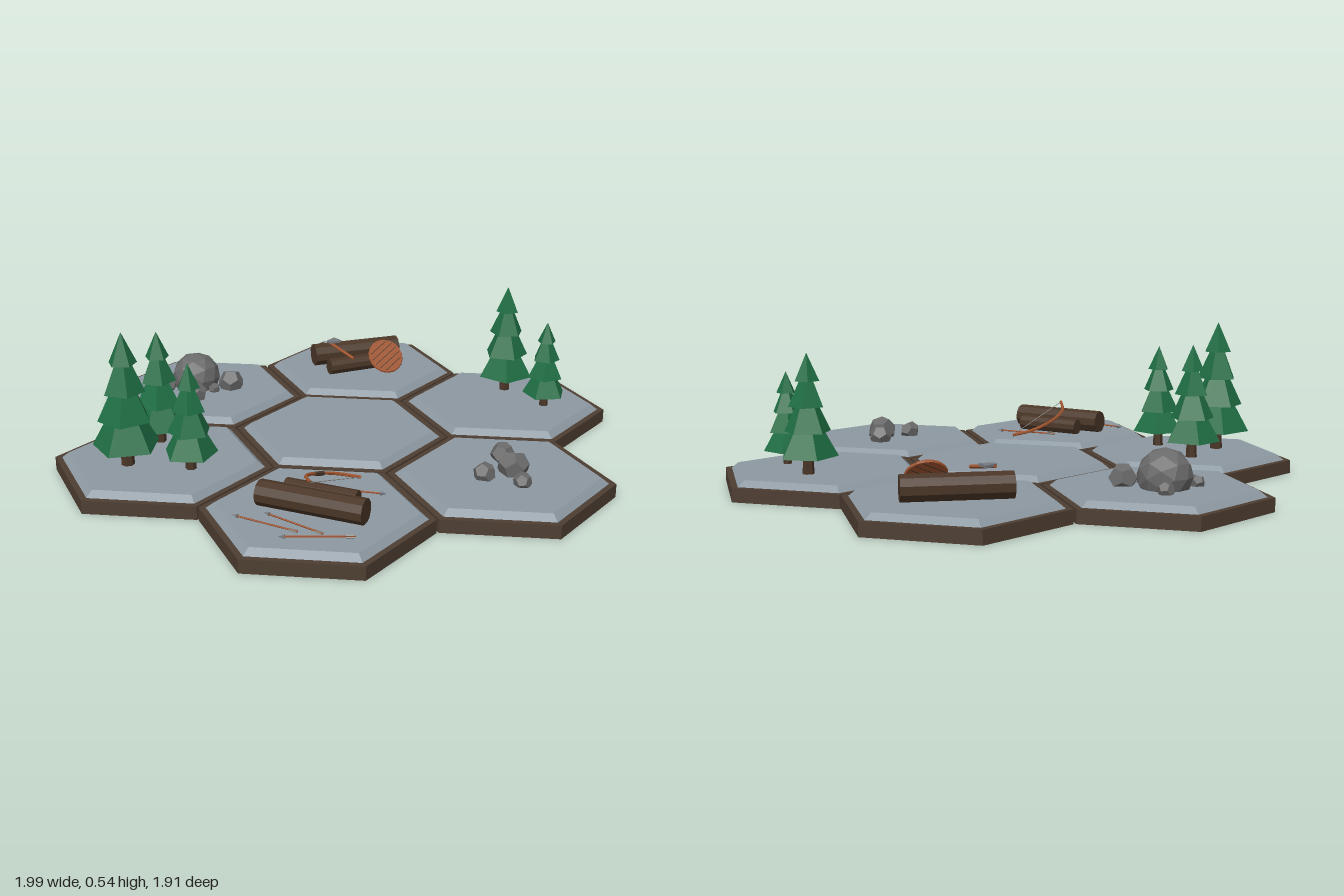
import * as THREE from 'three';

const mat = (name, color, extra = {}) => {
  const m = new THREE.MeshStandardMaterial({ color, flatShading: true, ...extra });
  m.name = name;
  return m;
};
const V = (x, y, z) => new THREE.Vector3(x, y, z);
const UP = V(0, 1, 0);
const G = 0.067; // height of the tile tops

export function createModel() {
  const M = {
    rim: mat('rim brown', 0x4e3e32),
    slab: mat('slab grey', 0x8c98a1),
    bark: mat('bark brown', 0x4a3627),
    leaf: mat('pine green', 0x1f6e44),
    rock: mat('rock grey', 0x6a6a6b),
    wood: mat('orange wood', 0xa0542f),
    metal: mat('metal grey', 0x777b80),
    string: mat('string grey', 0x8f8f8a),
  };
  const root = new THREE.Group();
  root.name = 'hexTileSet';

  const group = (name, parent = root) => {
    const g = new THREE.Group();
    g.name = name;
    parent.add(g);
    return g;
  };
  const add = (parent, name, geo, material, x = 0, y = 0, z = 0) => {
    const m = new THREE.Mesh(geo, material);
    m.name = name;
    m.position.set(x, y, z);
    parent.add(m);
    return m;
  };
  // cylinder running from a to b
  const rod = (parent, name, a, b, r0, r1, sides, material) => {
    const m = add(parent, name, new THREE.CylinderGeometry(r1, r0, a.distanceTo(b), sides), material);
    m.position.copy(a).lerp(b, 0.5);
    m.quaternion.setFromUnitVectors(UP, b.clone().sub(a).normalize());
    return m;
  };

  // Seven hexagonal tiles: brown base and bevelled stone slab
  const rows = [[-0.577, [-0.333, 0.333]], [0, [-0.667, 0, 0.667]], [0.577, [-0.333, 0.333]]];
  for (const [z, xs] of rows) for (const x of xs) {
    const tile = group('tile');
    tile.position.set(x, 0, z);
    add(tile, 'tileBase', new THREE.CylinderGeometry(0.38, 0.38, 0.047, 6), M.rim, 0, 0.0235, 0);
    add(tile, 'tileSlab', new THREE.CylinderGeometry(0.33, 0.356, 0.02, 6), M.slab, 0, 0.057, 0);
  }

  // Pine trees: trunk and four five-sided tiers (x, z, height, turn)
  const tiers = [ // bottom, top, lower radius, upper radius
    [0.145, 0.42, 0.25, 0.1],
    [0.35, 0.62, 0.2, 0.07],
    [0.56, 0.82, 0.155, 0.04],
    [0.77, 1, 0.105, 0],
  ];
  for (const [x, z, h, turn] of [
    [-0.385, 0.69, 0.47, 1.5], [-0.435, 0.478, 0.405, 0.3], [-0.19, 0.588, 0.375, 1.2],
    [0.275, -0.69, 0.41, 0.6], [0.48, -0.63, 0.325, 0.1],
  ]) {
    const tree = group('pineTree');
    tree.position.set(x, G, z);
    tree.rotation.y = turn;
    tree.scale.setScalar(h);
    add(tree, 'trunk', new THREE.CylinderGeometry(0.04, 0.05, 0.2, 6), M.bark, 0, 0.1, 0);
    tiers.forEach(([y0, y1, r0, r1], i) => {
      const t = add(tree, 'foliageTier', new THREE.CylinderGeometry(r1, r0, y1 - y0, 5), M.leaf, 0, (y0 + y1) / 2, 0);
      t.rotation.y = i * 0.35;
    });
  }

  // Rocks (x, z, radius)
  [
    [-0.71, -0.01, 0.092], [-0.585, -0.07, 0.05], [-0.615, 0.095, 0.042], [-0.765, 0.085, 0.027],
    [-0.78, -0.09, 0.029], [-0.61, 0, 0.023],
    [0.61, -0.105, 0.043], [0.695, -0.03, 0.055], [0.64, 0.065, 0.039], [0.77, 0.04, 0.032],
  ].forEach(([x, z, r], i) => {
    const geo = r > 0.08 ? new THREE.IcosahedronGeometry(r, 1) : new THREE.DodecahedronGeometry(r);
    const rock = add(root, 'rock', geo, M.rock, x, G + r * 0.42, z);
    rock.rotation.set(i * 1.1, i * 0.7, i * 0.4);
  });

  // Fallen logs (centre x, z, direction x, z, length, radius)
  for (const [x, z, dx, dz, len, r] of [
    [0.345, 0.615, 67, -16, 0.365, 0.043], [0.315, 0.525, 46, -11, 0.25, 0.03],
    [-0.383, -0.612, 37, -53, 0.355, 0.045], [-0.312, -0.515, 22, -38, 0.225, 0.032],
  ]) {
    const c = V(x, G + r * 0.92, z), d = V(dx, 0, dz).normalize().multiplyScalar(len / 2);
    rod(root, 'log', c.clone().sub(d), c.clone().add(d), r, r, 10, M.bark);
  }

  // Arrows: shaft, head and two crossed feathers (tail x, z to head x, z)
  for (const [x0, z0, x1, z1] of [
    [0.465, 0.715, 0.25, 0.71], [0.395, 0.75, 0.18, 0.78],
    [0.555, 0.67, 0.385, 0.8], [0.235, 0.47, 0.44, 0.38],
  ]) {
    const a = V(x0, G + 0.006, z0), b = V(x1, G + 0.006, z1);
    const arrow = group('arrow');
    rod(arrow, 'arrowShaft', a, b, 0.003, 0.003, 5, M.wood);
    rod(arrow, 'arrowHead', b, b.clone().sub(a).setLength(0.022).add(b), 0.008, 0, 4, M.metal);
    for (const k of [0, 1]) {
      const f = add(arrow, 'arrowFeather', new THREE.BoxGeometry(k ? 0.002 : 0.012, 0.026, k ? 0.012 : 0.002), M.string);
      f.position.copy(a).lerp(b, 0.08);
      f.quaternion.setFromUnitVectors(UP, b.clone().sub(a).normalize());
    }
  }

  // Bow leaning over the logs
  const bow = group('bow');
  const limb = [[0.32, 0.32], [0.268, 0.375], [0.25, 0.46], [0.272, 0.55], [0.345, 0.62]]
    .map(([x, z]) => V(x, G + 0.008 + (z - 0.32) * 0.33, z));
  add(bow, 'bowLimb', new THREE.TubeGeometry(new THREE.CatmullRomCurve3(limb), 20, 0.006, 6), M.wood);
  rod(bow, 'bowGrip', limb[2].clone().lerp(limb[1], 0.25), limb[2].clone().lerp(limb[3], 0.25), 0.008, 0.008, 6, M.bark);
  rod(bow, 'bowString', limb[0], limb[4], 0.0015, 0.0015, 4, M.string);

  // Round plank shield leaning on the small log
  const shield = group('shield');
  shield.position.set(-0.222, G + 0.054, -0.598);
  shield.quaternion.setFromUnitVectors(UP, V(0.64, 0.64, 0.4).normalize());
  add(shield, 'shieldBoard', new THREE.CylinderGeometry(0.066, 0.066, 0.01, 18), M.wood);
  const hoop = add(shield, 'shieldRim', new THREE.TorusGeometry(0.066, 0.006, 6, 18), M.wood);
  hoop.rotation.x = Math.PI / 2;
  for (let i = -2; i <= 2; i++) {
    const x = i * 0.022;
    add(shield, 'plankGap', new THREE.BoxGeometry(0.003, 0.012, 2 * Math.sqrt(0.062 ** 2 - x * x)), M.bark, x);
  }

  // Axe resting across the logs
  const axe = group('axe');
  const butt = V(-0.283, 0.137, -0.463), tip = V(-0.44, 0.165, -0.503);
  rod(axe, 'axeHandle', butt, tip, 0.006, 0.006, 6, M.wood);
  const blade = new THREE.Shape([[-0.011, -0.008], [0.011, -0.008], [0.024, 0.038], [-0.024, 0.038]]
    .map(([x, y]) => new THREE.Vector2(x, y)));
  const head = add(axe, 'axeHead', new THREE.ExtrudeGeometry(blade, { depth: 0.009, bevelEnabled: false }), M.metal, -0.425, 0.163, -0.499);
  head.rotation.set(-Math.PI / 2, 0, -0.25);

  return root;
}
